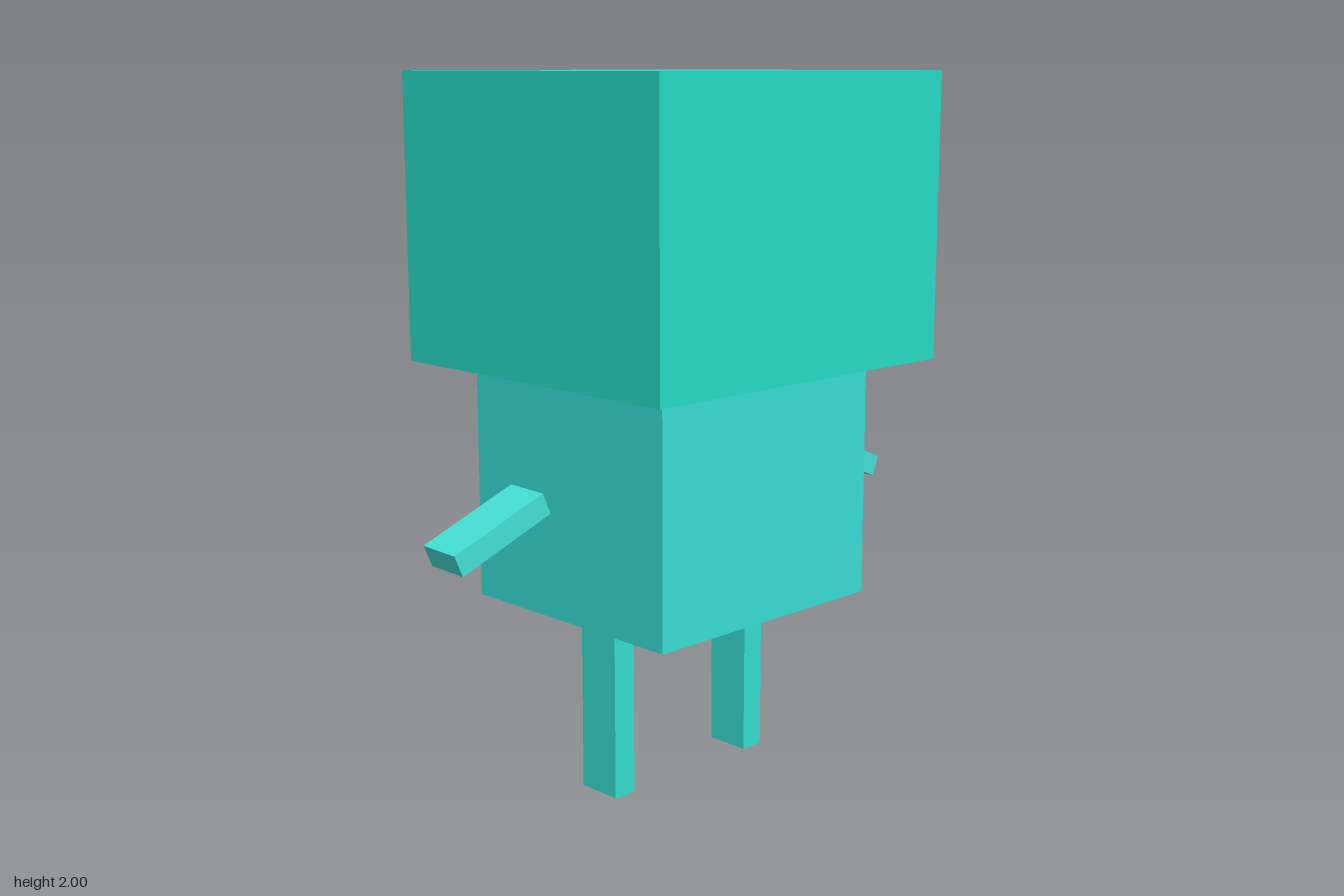
import * as THREE from 'three';

export function createModel() {
  const model = new THREE.Group();

  const paint = (color) => new THREE.MeshStandardMaterial({ color });
  const headPaint = paint(0x26dcc6);
  const bodyPaint = paint(0x38dfd6);
  const armPaint = paint(0x44e0d6);
  const legPaint = paint(0x36dfd0);

  // A named block given by its size and centre
  function block(name, size, centre, material) {
    const mesh = new THREE.Mesh(new THREE.BoxGeometry(...size), material);
    mesh.name = name;
    mesh.position.set(...centre);
    model.add(mesh);
    return mesh;
  }

  // Head and torso
  block('head', [1.0, 0.795, 1.07], [0, 1.6025, 0.007], headPaint);
  block('body', [0.745, 0.68, 0.8], [-0.002, 0.865, 0.009], bodyPaint);

  for (const side of [1, -1]) {
    const prefix = side > 0 ? 'front' : 'back';

    // Leg under the torso
    block(prefix + 'Leg', [0.135, 0.525, 0.072], [-0.002, 0.2625, side * 0.261], legPaint);

    // Floating arm sloping down and outward; the front one is slightly turned
    const arm = block(prefix + 'Arm', [0.138, 0.063, 0.304], [-0.001, 0.838, side * 0.678], armPaint);
    arm.rotation.order = 'YXZ';
    arm.rotation.set(side * 0.395, side > 0 ? -0.05 : 0, 0);
  }

  return model;
}
